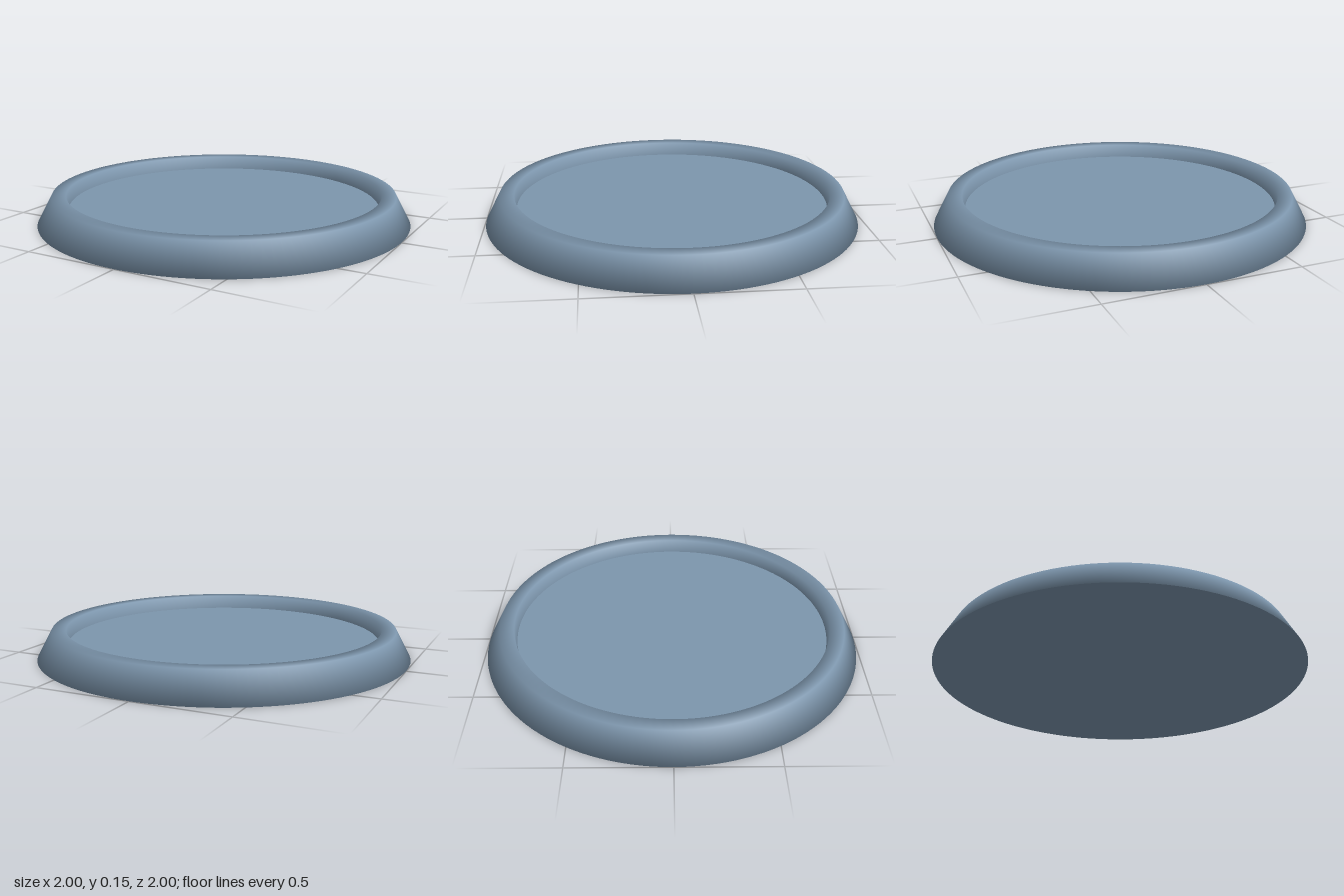
import * as THREE from 'three';

const SEGMENTS = 128;
const FLOOR_Y = 0.075;

export function createModel() {
  const model = new THREE.Group();
  model.name = 'roundTray';

  const slateBlue = new THREE.MeshStandardMaterial({ color: 0x7d96ad });
  slateBlue.name = 'slateBlue';

  const add = (name, geometry) => {
    const mesh = new THREE.Mesh(geometry, slateBlue);
    mesh.name = name;
    model.add(mesh);
    return mesh;
  };

  // Sloped outer side, flat lip and near-vertical inner wall, smoothly shaded
  const profile = [
    [0.84, 0.001],
    [1, 0.001],
    [0.92, 0.15],
    [0.845, 0.15],
    [0.835, FLOOR_Y],
  ].map(([r, y]) => new THREE.Vector2(r, y));
  add('rim', new THREE.LatheGeometry(profile, SEGMENTS));

  // Recessed floor
  const floor = add('floor', new THREE.CircleGeometry(0.836, SEGMENTS));
  floor.rotation.x = -Math.PI / 2;
  floor.position.y = FLOOR_Y;

  // Flat underside
  const underside = add('underside', new THREE.CircleGeometry(1, SEGMENTS));
  underside.rotation.x = Math.PI / 2;

  return model;
}
